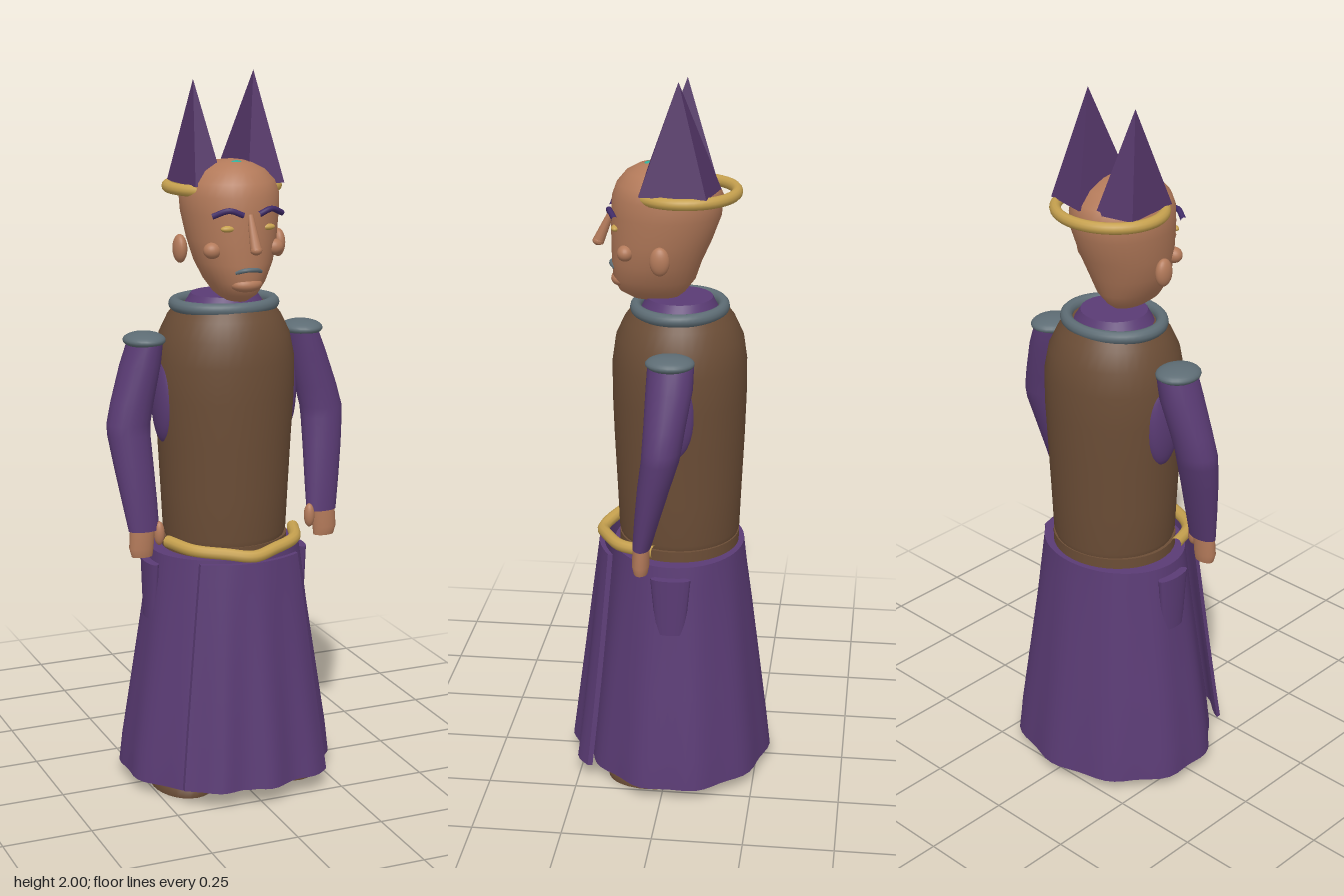
import * as THREE from 'three';

const mat = (name, color, opts = {}) => {
  const m = new THREE.MeshStandardMaterial({ color, ...opts });
  m.name = name;
  return m;
};

// Stacked elliptical rings, bottom to top: [y, xCentre, zCentre, xRadius, zRadius]
function loft(rows, sides = 28, ripple = () => 1) {
  const pos = [], idx = [], n = rows.length;
  const ring = ([y, xc, zc, rx, rz], i) => {
    for (let k = 0; k < sides; k++) {
      const a = (k / sides) * Math.PI * 2, r = ripple(a, i / (n - 1));
      pos.push(xc + rx * r * Math.sin(a), y, zc + rz * r * Math.cos(a));
    }
  };
  rows.forEach(ring);
  for (let i = 0; i < n - 1; i++) {
    for (let k = 0; k < sides; k++) {
      const a = i * sides + k, b = i * sides + (k + 1) % sides;
      idx.push(a, b, b + sides, a, b + sides, a + sides);
    }
  }
  // End caps have their own vertices so the rims stay crisp
  [0, n - 1].forEach((i) => {
    const start = pos.length / 3;
    ring(rows[i], i);
    pos.push(rows[i][1], rows[i][0], rows[i][2]);
    const c = start + sides;
    for (let k = 0; k < sides; k++) {
      const a = start + k, b = start + (k + 1) % sides;
      if (i) idx.push(a, b, c); else idx.push(b, a, c);
    }
  });
  const g = new THREE.BufferGeometry();
  g.setAttribute('position', new THREE.Float32BufferAttribute(pos, 3));
  g.setIndex(idx);
  g.computeVertexNormals();
  return g;
}

// Four-sided spike from base corners [x, z] (counterclockwise from above) and an apex
function spike(corners, baseY, apex) {
  const c = corners.map(([x, z]) => [x, baseY, z]);
  const tris = [];
  for (let i = 0; i < 4; i++) tris.push(c[i], c[(i + 1) % 4], apex);
  tris.push(c[0], c[3], c[2], c[0], c[2], c[1]);
  const g = new THREE.BufferGeometry();
  g.setAttribute('position', new THREE.Float32BufferAttribute(tris.flat(), 3));
  g.computeVertexNormals();
  return g;
}

const tube = (pts, r, seg = 24) => new THREE.TubeGeometry(
  new THREE.CatmullRomCurve3(pts.map((p) => new THREE.Vector3(...p))), seg, r, 10);

export function createModel() {
  const model = new THREE.Group();
  model.name = 'robedFigure';
  const purple = mat('robePurple', 0x5a3b74);
  const hornPurple = mat('hornPurple', 0x533567, { flatShading: true });
  const brown = mat('tunicBrown', 0x6b4d36);
  const skin = mat('skin', 0xb37a5a);
  const gold = mat('gold', 0xc5a04e);
  const grey = mat('steelGrey', 0x5d6c74);
  const teal = mat('gemTeal', 0x2fae9a);
  const indigo = mat('browIndigo', 0x3f2a66);

  const add = (name, geo, material, p = [0, 0, 0]) => {
    const m = new THREE.Mesh(geo, material);
    m.name = name;
    m.position.set(...p);
    model.add(m);
    return m;
  };
  const blob = (name, material, p, r) => {
    const m = add(name, new THREE.SphereGeometry(1, 24, 16), material, p);
    m.scale.set(...r);
    return m;
  };
  const ringOf = (name, material, p, rx, rz, t) => {
    const g = new THREE.TorusGeometry(1, t / rx, 12, 48).rotateX(Math.PI / 2);
    add(name, g, material, p).scale.set(rx, rx, rz);
  };

  // Robe skirt, gently folded toward the hem
  add('skirt', loft([
    [0.035, 0, -0.02, 0.303, 0.262], [0.12, 0, -0.02, 0.295, 0.253],
    [0.3, 0, -0.02, 0.268, 0.231], [0.5, 0, -0.02, 0.238, 0.206],
    [0.62, 0, -0.02, 0.224, 0.19], [0.685, 0, -0.02, 0.215, 0.183],
  ], 64, (a, t) => 1 + 0.022 * (1 - t) * Math.cos(10 * a)), purple);

  // Hanging front panel, curved around the skirt
  const panel = new THREE.BoxGeometry(1, 1, 0.014, 24, 10, 1);
  const p = panel.attributes.position;
  for (let i = 0; i < p.count; i++) {
    const u = p.getX(i), t = 0.5 - p.getY(i);
    const x = u * THREE.MathUtils.lerp(0.29, 0.43, t);
    const curve = THREE.MathUtils.lerp(2, 1.3, t) * x * x;
    const fold = 0.01 * t * Math.cos(u * 18 - 1);
    p.setXYZ(i, x, 0.685 - 0.635 * t, 0.2 + 0.075 * t - curve + fold + p.getZ(i));
  }
  panel.computeVertexNormals();
  add('frontPanel', panel, purple);

  // Torso, hips, neck and collar
  add('hips', loft([[0.66, 0, -0.02, 0.178, 0.168], [0.715, 0, -0.02, 0.178, 0.168]], 40), brown);
  add('tunic', loft([
    [0.705, 0, -0.02, 0.165, 0.162], [0.73, 0, -0.02, 0.174, 0.169],
    [0.85, 0, -0.02, 0.18, 0.174], [1.0, 0, -0.02, 0.188, 0.181],
    [1.12, 0, -0.02, 0.196, 0.185], [1.22, 0, -0.02, 0.197, 0.185],
    [1.29, 0, -0.02, 0.182, 0.175], [1.34, 0, -0.02, 0.158, 0.152],
    [1.37, 0, -0.02, 0.135, 0.13],
  ], 40), brown);
  add('neck', loft([[1.35, 0, -0.02, 0.125, 0.115], [1.4, 0, -0.02, 0.092, 0.09]], 32), purple);
  ringOf('collar', grey, [0, 1.372, -0.02], 0.138, 0.12, 0.018);

  // Belt dipping to the front
  add('belt', tube([[-0.19, 0.72, 0.03], [-0.15, 0.716, 0.125], [-0.07, 0.71, 0.175], [0, 0.702, 0.198],
    [0.07, 0.71, 0.175], [0.15, 0.716, 0.125], [0.19, 0.72, 0.03]], 0.017, 48), gold);

  // Head, wide at the crown and narrow at the chin
  add('head', loft([
    [1.395, 0, 0.05, 0.03, 0.06], [1.415, 0, 0.055, 0.055, 0.09],
    [1.45, 0, 0.05, 0.08, 0.112], [1.5, 0, 0.043, 0.105, 0.122],
    [1.56, 0, 0.03, 0.12, 0.136], [1.63, 0, 0.017, 0.131, 0.149],
    [1.68, 0, 0.013, 0.134, 0.15], [1.715, 0, 0.014, 0.122, 0.136],
    [1.745, 0, 0.02, 0.092, 0.105], [1.763, 0, 0.028, 0.055, 0.065], [1.77, 0, 0.035, 0.015, 0.02],
  ], 36), skin);
  blob('chin', skin, [0, 1.447, 0.135], [0.045, 0.022, 0.033]);
  add('mouth', tube([[-0.036, 1.482, 0.15], [-0.015, 1.489, 0.165], [0.015, 1.489, 0.165],
    [0.036, 1.482, 0.15]], 0.006), grey);
  const nose = add('nose', new THREE.CylinderGeometry(0.008, 0.016, 0.1, 12), skin, [0, 1.59, 0.183]);
  nose.rotation.x = -0.42;
  blob('noseTip', skin, [0, 1.548, 0.202], [0.016, 0.013, 0.016]);
  blob('gem', teal, [0, 1.758, 0.065], [0.023, 0.012, 0.015]);
  ringOf('circlet', gold, [0, 1.692, -0.035], 0.15, 0.138, 0.016);

  // Pyramid horns, slightly unequal
  add('rightHorn', spike([[-0.12, 0.074], [-0.037, 0.07], [-0.028, -0.12], [-0.137, -0.095]],
    1.705, [-0.085, 1.98, -0.03]), hornPurple);
  add('leftHorn', spike([[0.028, 0.083], [0.137, 0.075], [0.148, -0.105], [0.018, -0.132]],
    1.705, [0.088, 2.0, -0.025]), hornPurple);

  // Paired parts
  for (const s of [-1, 1]) {
    const side = s > 0 ? 'left' : 'right';
    const rows = (r) => r.map(([y, x, ...rest]) => [y, s * x, ...rest]);

    add(side + 'Brow', tube([[s * 0.022, 1.637, 0.169], [s * 0.06, 1.65, 0.163], [s * 0.1, 1.635, 0.143]],
      0.008), indigo);
    blob(side + 'Eye', gold, [s * 0.057, 1.6, 0.147], [0.021, 0.009, 0.012]);
    blob(side + 'Cheek', skin, [s * 0.09, 1.54, 0.117], [0.025, 0.022, 0.022]);
    blob(side + 'Ear', skin, [s * 0.144, 1.535, 0.018], [0.019, 0.039, 0.027]);

    // Sleeve bent at the elbow
    add(side + 'Sleeve', loft(rows([
      [0.768, 0.268, 0.053, 0.044, 0.025], [0.85, 0.275, 0.038, 0.05, 0.034],
      [0.95, 0.284, 0.018, 0.056, 0.044], [1.03, 0.29, 0.0, 0.06, 0.051],
      [1.06, 0.289, -0.004, 0.061, 0.053], [1.12, 0.275, -0.01, 0.06, 0.056],
      [1.22, 0.247, -0.02, 0.056, 0.063], [1.28, 0.232, -0.022, 0.048, 0.062],
    ]), 20), purple);
    blob(side + 'Underarm', purple, [s * 0.18, 1.12, -0.02], [0.03, 0.13, 0.06]);
    blob(side + 'ShoulderCap', grey, [s * 0.235, 1.285, -0.02], [0.058, 0.022, 0.066]);
    add(side + 'Hand', loft(rows([
      [0.695, 0.275, 0.055, 0.03, 0.019], [0.72, 0.277, 0.055, 0.035, 0.024],
      [0.785, 0.272, 0.053, 0.036, 0.023],
    ]), 16), skin);
    blob(side + 'Thumb', skin, [s * 0.227, 0.757, 0.062], [0.015, 0.034, 0.016]);

    // Tapered hip flap
    add(side + 'HipFlap', loft(rows([
      [0.49, 0.225, -0.02, 0.016, 0.04], [0.655, 0.225, -0.02, 0.018, 0.056],
    ]), 16), purple);

    // Boot with a flat sole under the hem
    add(side + 'Boot', loft(rows([
      [0, 0.158, 0.045, 0.086, 0.12], [0.03, 0.158, 0.045, 0.088, 0.125],
      [0.08, 0.155, 0.03, 0.065, 0.09],
    ]), 28), brown);
  }
  return model;
}
